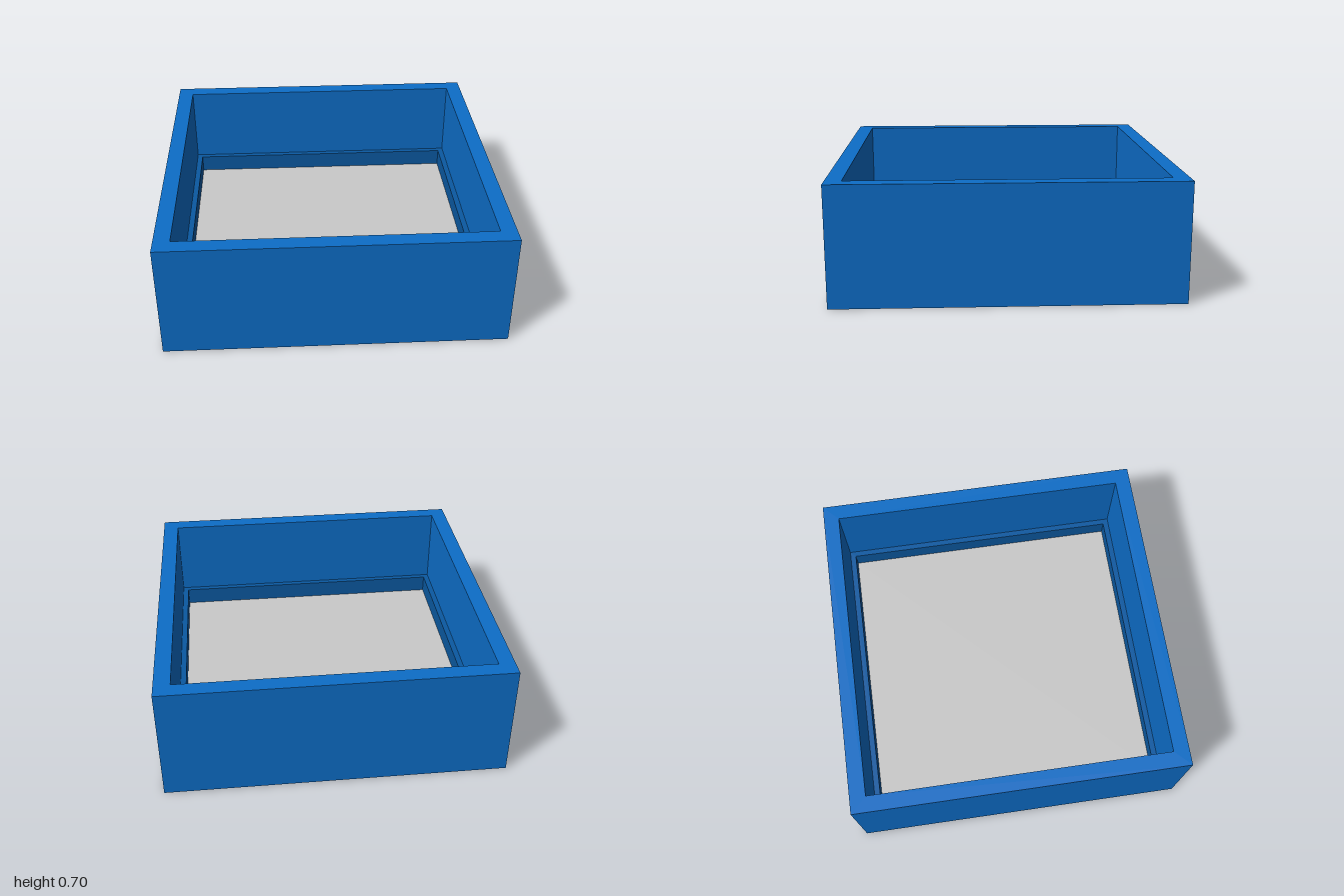
import * as THREE from 'three';

const blue = new THREE.MeshStandardMaterial({ color: 0x0d6dc7 });
blue.name = 'blue';
const darkBlue = new THREE.MeshStandardMaterial({ color: 0x0b59a1 });
darkBlue.name = 'dark blue';
const grey = new THREE.MeshStandardMaterial({ color: 0xc9c9c9 });
grey.name = 'light grey';

// Square outline with the given half width
function square(PathType, h) {
  return new PathType([
    new THREE.Vector2(-h, -h), new THREE.Vector2(h, -h),
    new THREE.Vector2(h, h), new THREE.Vector2(-h, h),
  ]);
}

// Upright square frame from y0 to y1
function frame(name, outer, inner, y0, y1, material) {
  const shape = square(THREE.Shape, outer);
  shape.holes.push(square(THREE.Path, inner));
  const geo = new THREE.ExtrudeGeometry(shape, { depth: y1 - y0, bevelEnabled: false });
  geo.rotateX(-Math.PI / 2).translate(0, y0, 0);
  const mesh = new THREE.Mesh(geo, material);
  mesh.name = name;
  return mesh;
}

// Flat square slab from y0 to y1
function slab(name, half, y0, y1, material) {
  const mesh = new THREE.Mesh(new THREE.BoxGeometry(half * 2, y1 - y0, half * 2), material);
  mesh.position.y = (y0 + y1) / 2;
  mesh.name = name;
  return mesh;
}

export function createModel() {
  const model = new THREE.Group();
  model.name = 'openBox';
  const rim = 0.905, ledge = 0.87, floorY = 0.1;

  model.add(
    // Outer walls and the base closing them
    frame('walls', 1, rim, 0, 0.7, blue),
    slab('base', rim, 0, floorY - 0.008, blue),
    // Low stepped ledge around the floor
    frame('innerLedge', rim, ledge, floorY - 0.008, 0.21, darkBlue),
    // Floor panel
    slab('floorPanel', ledge, floorY - 0.008, floorY, grey),
  );
  return model;
}
